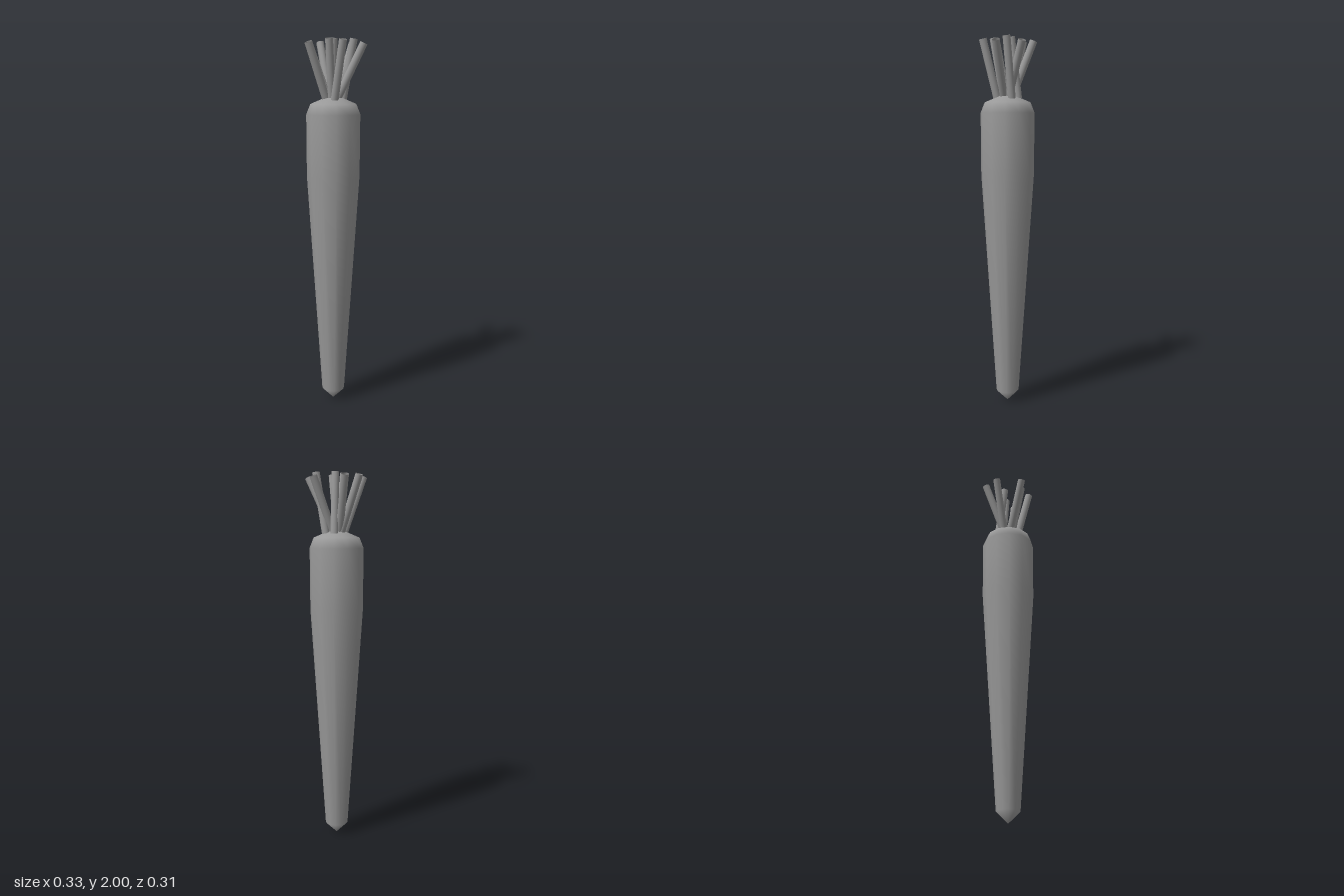
import * as THREE from 'three';

const rootMaterial = new THREE.MeshStandardMaterial({ color: 0x999999 });
const stemMaterial = new THREE.MeshStandardMaterial({ color: 0x999999, side: THREE.DoubleSide });

// Straight hollow stem, open at both ends, between two points
function makeStem(base, tip, radius) {
  const axis = tip.clone().sub(base);
  const tube = new THREE.CylinderGeometry(radius, radius, axis.length(), 14, 1, true);
  const stem = new THREE.Mesh(tube, stemMaterial);
  stem.position.copy(base).add(tip).multiplyScalar(0.5);
  stem.quaternion.setFromUnitVectors(new THREE.Vector3(0, 1, 0), axis.normalize());
  stem.name = 'stem';
  return stem;
}

export function createModel() {
  const model = new THREE.Group();
  model.name = 'carrot';

  // Tapered twelve-sided root with a blunt tip and rounded shoulder
  const profile = [
    [0, 0], [0.062, 0.06], [0.143, 1.27], [0.145, 1.6], [0.123, 1.655], [0.045, 1.688], [0, 1.69],
  ].map(([r, y]) => new THREE.Vector2(r, y));
  const root = new THREE.Mesh(new THREE.LatheGeometry(profile, 12), rootMaterial);
  root.position.set(0.007, 0, 0.007);
  root.name = 'root';
  model.add(root);

  // Cut stems fanning out of the crown: base x, base z, tip x, tip z, tip y
  const stems = new THREE.Group();
  stems.name = 'stems';
  const layout = [
    [-0.03, -0.005, -0.147, 0, 1.972],
    [-0.003, -0.025, -0.065, -0.12, 1.98],
    [0.003, -0.018, 0.024, -0.138, 1.978],
    [0.025, 0.01, 0.146, -0.011, 1.972],
    [0.012, 0.03, 0.118, 0.124, 1.97],
    [-0.02, 0.055, -0.026, 0.135, 1.985],
    [-0.012, 0.02, -0.059, 0.059, 1.992],
    [0.068, 0.01, 0.103, 0.057, 1.994],
    [0.041, -0.04, 0.02, -0.008, 1.996],
  ];
  for (const [bx, bz, tx, tz, ty] of layout) {
    stems.add(makeStem(new THREE.Vector3(bx, 1.675, bz), new THREE.Vector3(tx, ty, tz), 0.0205));
  }
  model.add(stems);
  return model;
}
